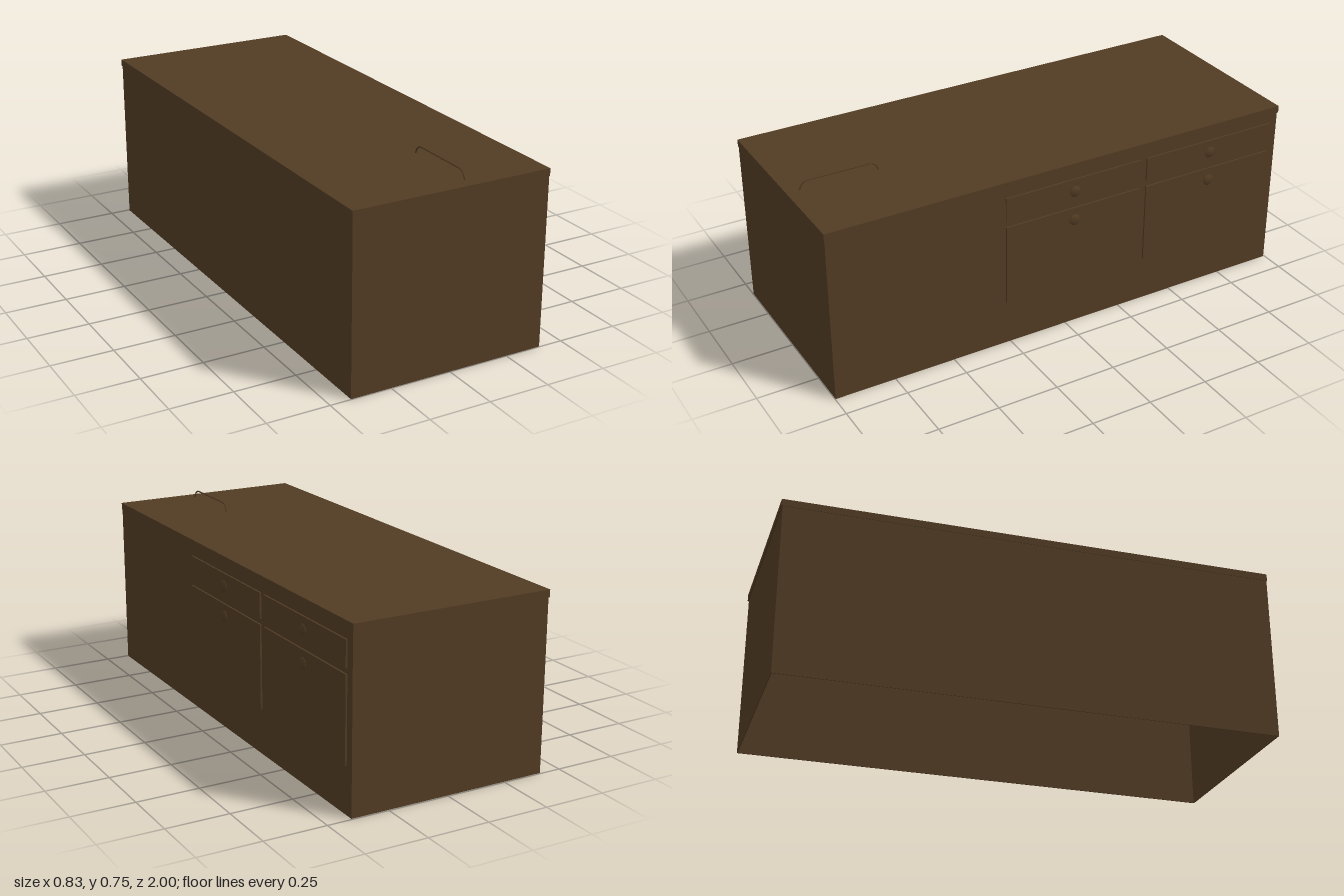
import * as THREE from 'three';

export function createModel() {
  const model = new THREE.Group();
  model.name = 'desk';
  const wood = new THREE.MeshStandardMaterial({ color: 0x513b23, side: THREE.DoubleSide });
  wood.name = 'dark wood';

  const add = (parent, name, geometry, x, y, z) => {
    const mesh = new THREE.Mesh(geometry, wood);
    mesh.name = name;
    mesh.position.set(x, y, z);
    parent.add(mesh);
    return mesh;
  };
  // Box given by its lower and upper corners
  const box = (parent, name, x0, x1, y0, y1, z0, z1) => add(parent, name,
    new THREE.BoxGeometry(x1 - x0, y1 - y0, z1 - z0), (x0 + x1) / 2, (y0 + y1) / 2, (z0 + z1) / 2);

  // Worktop
  box(model, 'worktop', -0.417, 0.403, 0.685, 0.714, -1, 1);

  // Thin side panels, open underneath
  const L = -0.415, R = 0.401, F = 0.998, B = -0.995, H = 0.685, T = 0.003;
  box(model, 'leftPanel', R - T, R, 0, H, B, F);
  box(model, 'rightPanel', L, L + T, 0, H, B, F);
  box(model, 'frontPanel', L + T, R - T, 0, H, F - T, F);
  box(model, 'backPanel', L + T, R - T, 0, H, B, B + T);

  // Stepped round knob, turned to point along +x
  const knobProfile = [[0.023, 0], [0.023, 0.004], [0.014, 0.004], [0.014, 0.008], [0, 0.008]];
  const knobGeometry = new THREE.LatheGeometry(knobProfile.map(p => new THREE.Vector2(...p)), 20);
  knobGeometry.rotateZ(-Math.PI / 2);

  // Two columns of a shallow drawer above a deep one
  for (const z of [-0.66, -0.03]) {
    for (const [name, y0, y1, knobY] of [['shallowDrawer', 0.545, 0.648, 0.597], ['deepDrawer', 0.187, 0.523, 0.472]]) {
      const drawer = new THREE.Group();
      drawer.name = name;
      box(drawer, 'drawerFront', R, 0.408, y0, y1, z - 0.3, z + 0.3);
      add(drawer, 'drawerKnob', knobGeometry, 0.408, knobY, z);
      model.add(drawer);
    }
  }

  // Thin bent rail on the worktop
  const p = (y, z) => new THREE.Vector3(0.07, y, z);
  const rail = new THREE.CurvePath();
  rail.add(new THREE.QuadraticBezierCurve3(p(0.712, 0.947), p(0.747, 0.94), p(0.747, 0.905)));
  rail.add(new THREE.LineCurve3(p(0.747, 0.905), p(0.747, 0.67)));
  rail.add(new THREE.QuadraticBezierCurve3(p(0.747, 0.67), p(0.747, 0.637), p(0.712, 0.63)));
  add(model, 'rail', new THREE.TubeGeometry(rail, 60, 0.003, 8), 0, 0, 0);

  return model;
}
